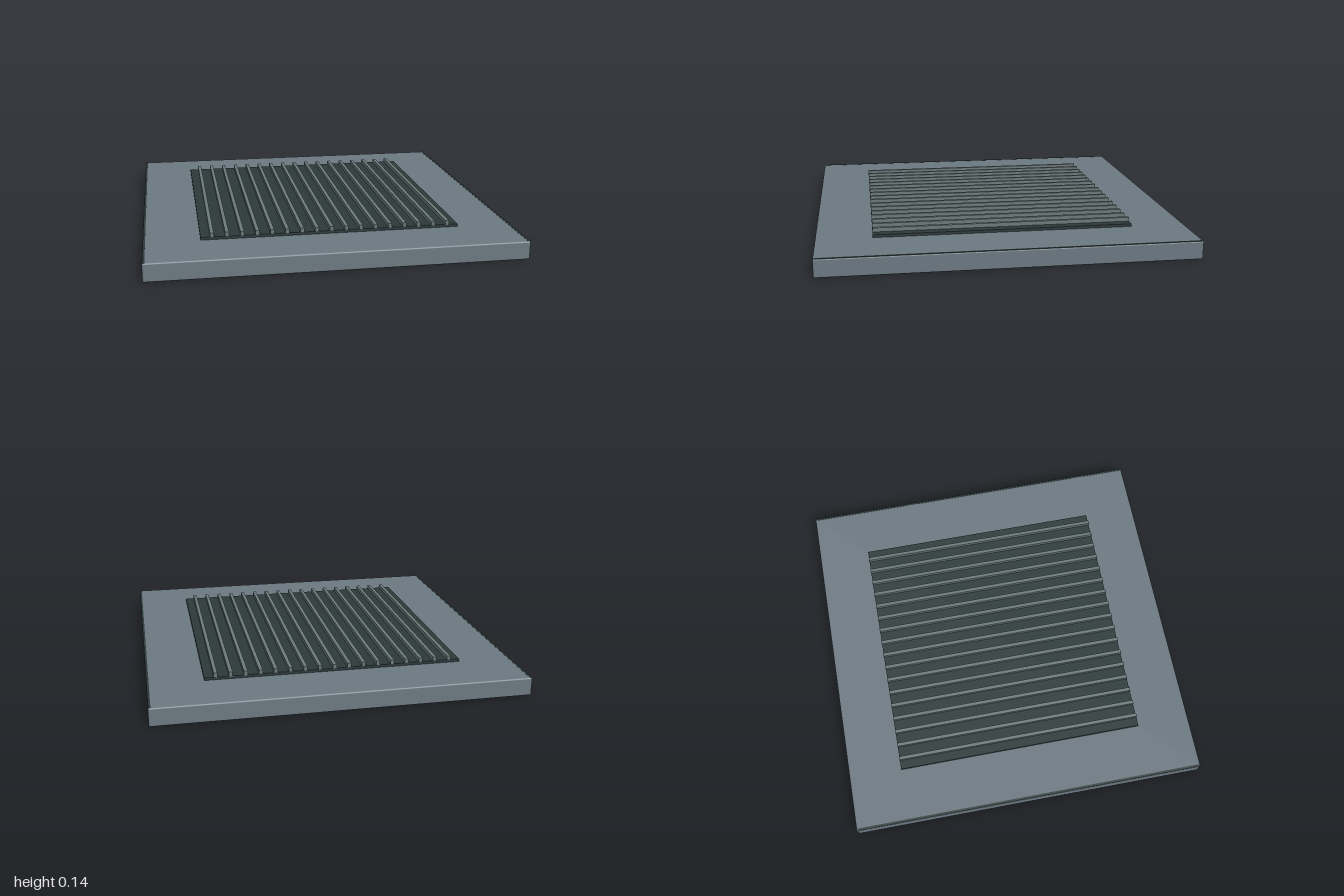
import * as THREE from 'three';
import { RoundedBoxGeometry } from 'three/addons/geometries/RoundedBoxGeometry.js';

export function createModel() {
  const model = new THREE.Group();
  model.name = 'ribbedFloorPlate';

  const slabGrey = new THREE.MeshStandardMaterial({ name: 'slabGrey', color: 0x6c7982 });
  const ribGrey = new THREE.MeshStandardMaterial({ name: 'ribGrey', color: 0x6c7a7b });
  const darkGreen = new THREE.MeshStandardMaterial({ name: 'darkGreen', color: 0x2d3a3a });

  const add = (name, geometry, material, x, y, z = 0, parent = model) => {
    const mesh = new THREE.Mesh(geometry, material);
    mesh.name = name;
    mesh.position.set(x, y, z);
    parent.add(mesh);
    return mesh;
  };

  // Square slab with softened edges
  add('slab', new RoundedBoxGeometry(2, 0.1, 2, 2, 0.008), slabGrey, 0, 0.05);

  // Dark trim along the left and right top edges
  const trim = new THREE.BoxGeometry(0.012, 0.008, 1.985);
  for (const side of [-1, 1]) {
    add(side > 0 ? 'leftEdgeTrim' : 'rightEdgeTrim', trim, darkGreen, side * 0.992, 0.097);
  }

  // Dark raised panel
  add('panel', new THREE.BoxGeometry(1.4, 0.018, 1.4), darkGreen, 0, 0.106);

  // Evenly spaced ribs running front to back
  const ribs = new THREE.Group();
  ribs.name = 'ribs';
  model.add(ribs);
  const rib = new THREE.BoxGeometry(0.02, 0.025, 1.4);
  for (let i = -8; i <= 8; i++) {
    add(`rib${i + 9}`, rib, ribGrey, i * 0.08, 0.1245, 0, ribs);
  }

  return model;
}
